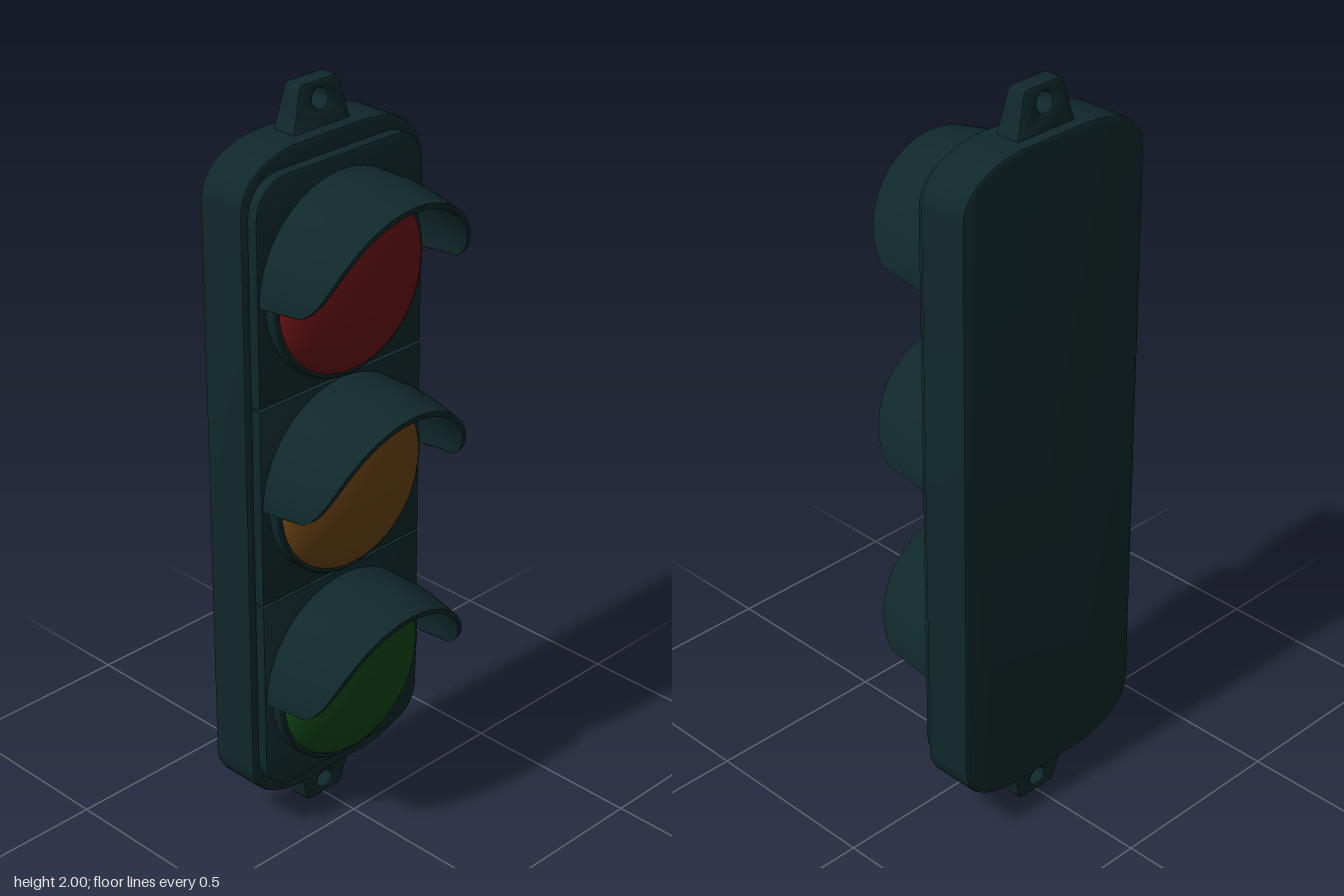
import * as THREE from 'three';
import { toCreasedNormals } from 'three/addons/utils/BufferGeometryUtils.js';

const mat = (name, color) => {
  const m = new THREE.MeshStandardMaterial({ color });
  m.name = name;
  return m;
};

// Rectangle with softly rounded corners; rx/ry top and bottom corner sizes
function panelShape(w, y0, y1, top, bottom) {
  const s = new THREE.Shape();
  const [tx, ty] = top, [bx, by] = bottom, k = 0.4;
  s.moveTo(-w + bx, y0);
  s.lineTo(w - bx, y0);
  if (bx) s.bezierCurveTo(w - bx * k, y0, w, y0 + by * k, w, y0 + by);
  s.lineTo(w, y1 - ty);
  if (tx) s.bezierCurveTo(w, y1 - ty * k, w - tx * k, y1, w - tx, y1);
  s.lineTo(-w + tx, y1);
  if (tx) s.bezierCurveTo(-w + tx * k, y1, -w, y1 - ty * k, -w, y1 - ty);
  s.lineTo(-w, y0 + by);
  if (bx) s.bezierCurveTo(-w, y0 + by * k, -w + bx * k, y0, -w + bx, y0);
  return s;
}

// Extrusion between two z planes, bevelled inside the given outline
function slab(shape, z0, z1, bevel) {
  const g = new THREE.ExtrudeGeometry(shape, {
    depth: z1 - z0 - 2 * bevel, bevelEnabled: bevel > 0, bevelSize: bevel,
    bevelThickness: bevel, bevelOffset: -bevel, bevelSegments: 2, curveSegments: 14,
  });
  g.translate(0, 0, z0 + bevel);
  return toCreasedNormals(g, 0.6);
}

// Half-round hood: closed cross-section loops swept over the upper half circle
function visorGeometry() {
  const R = 0.27, T = 0.013, back = -0.045, rows = 6, seg = 56, loop = rows * 2;
  const pos = [], idx = [];
  for (let i = 0; i <= seg; i++) {
    const a = Math.PI * i / seg;
    const depth = 0.245 * Math.pow(Math.max(0, Math.sin(a)), 0.2);
    for (let j = 0; j < loop; j++) {
      const inner = j >= rows;
      const t = (inner ? loop - 1 - j : j) / (rows - 1);
      const z = back + depth * t;
      const r = R - 0.025 * Math.max(0, (z - 0.07) / 0.13) - (inner ? T : 0);
      pos.push(r * Math.cos(a), r * Math.sin(a), z);
    }
  }
  for (let i = 0; i < seg; i++) {
    for (let j = 0; j < loop; j++) {
      const a = i * loop + j, b = i * loop + (j + 1) % loop;
      idx.push(a, b, b + loop, a, b + loop, a + loop);
    }
  }
  // Orient the outer skin outwards
  for (let k = 0; k < idx.length; k += 3) [idx[k + 1], idx[k + 2]] = [idx[k + 2], idx[k + 1]];
  const g = new THREE.BufferGeometry();
  g.setAttribute('position', new THREE.Float32BufferAttribute(pos, 3));
  g.setIndex(idx);
  return toCreasedNormals(g, 0.7);
}

// Mounting lug with a hole, thinner towards its tip
function lugGeometry() {
  const s = new THREE.Shape();
  s.moveTo(-0.1, -0.015);
  s.lineTo(0.1, -0.015);
  s.quadraticCurveTo(0.085, 0.02, 0.068, 0.095);
  s.quadraticCurveTo(0.064, 0.115, 0.045, 0.115);
  s.lineTo(-0.045, 0.115);
  s.quadraticCurveTo(-0.064, 0.115, -0.068, 0.095);
  s.quadraticCurveTo(-0.085, 0.02, -0.1, -0.015);
  const hole = new THREE.Path();
  hole.absarc(0, 0.07, 0.025, 0, Math.PI * 2, true);
  s.holes.push(hole);
  const g = new THREE.ExtrudeGeometry(s, {
    depth: 0.05, bevelThickness: 0.008, bevelSize: 0.006, bevelOffset: -0.006,
    bevelSegments: 2, curveSegments: 10,
  });
  g.translate(0, 0, -0.025);
  const p = g.attributes.position;
  for (let i = 0; i < p.count; i++) p.setZ(i, p.getZ(i) * (1.1 - 3 * p.getY(i)));
  return toCreasedNormals(g, 0.6);
}

export function createModel() {
  const model = new THREE.Group();
  model.name = 'trafficLight';
  const casing = mat('darkTealCasing', 0x10282a);
  const add = (name, geo, material, parent = model) => {
    const m = new THREE.Mesh(geo, material);
    m.name = name;
    parent.add(m);
    return m;
  };

  // Housing
  const corner = [0.2, 0.13], none = [0, 0];
  add('housing', slab(panelShape(0.296, 0.11, 1.888, corner, corner), -0.206, -0.068, 0.008), casing);

  // Three front panels with narrow grooves between
  const small = [0.1, 0.1];
  add('lowerPanel', slab(panelShape(0.275, 0.165, 0.721, none, small), -0.08, -0.04, 0.004), casing);
  add('middlePanel', slab(panelShape(0.275, 0.727, 1.261, none, none), -0.08, -0.04, 0.004), casing);
  add('upperPanel', slab(panelShape(0.275, 1.267, 1.838, small, none), -0.08, -0.04, 0.004), casing);

  // Mounting lugs
  const lug = lugGeometry();
  add('topLug', lug, casing).position.set(0, 1.885, -0.138);
  const bottomLug = add('bottomLug', lug, casing);
  bottomLug.position.set(0, 0.115, -0.138);
  bottomLug.rotation.z = Math.PI;

  // Lamp profiles, turned about the z axis
  const domePoints = [];
  for (let i = 0; i <= 14; i++) {
    const a = (Math.PI / 2) * (1 - i / 14);
    domePoints.push(new THREE.Vector2(0.237 * Math.sin(a), -0.014 + 0.064 * Math.cos(a)));
  }
  const dome = new THREE.LatheGeometry(domePoints, 48).rotateX(Math.PI / 2);
  const rimPoints = [[0.232, -0.045], [0.25, -0.045], [0.25, -0.014], [0.246, -0.01], [0.236, -0.01], [0.232, -0.016], [0.232, -0.045]];
  const rim = toCreasedNormals(
    new THREE.LatheGeometry(rimPoints.map(([x, y]) => new THREE.Vector2(x, y)), 48).rotateX(Math.PI / 2), 0.5);
  const visor = visorGeometry();

  // Lamps: rim, lens and visor
  const lamps = [
    ['red', 1.528, 0x6b1315],
    ['amber', 0.99, 0x6e4514],
    ['green', 0.436, 0x124716],
  ];
  for (const [name, y, color] of lamps) {
    const lamp = new THREE.Group();
    lamp.name = name + 'Lamp';
    lamp.position.y = y;
    add(name + 'Lens', dome, mat(name + 'Lens', color), lamp);
    add(name + 'Rim', rim, casing, lamp);
    add(name + 'Visor', visor, casing, lamp);
    model.add(lamp);
  }
  return model;
}
